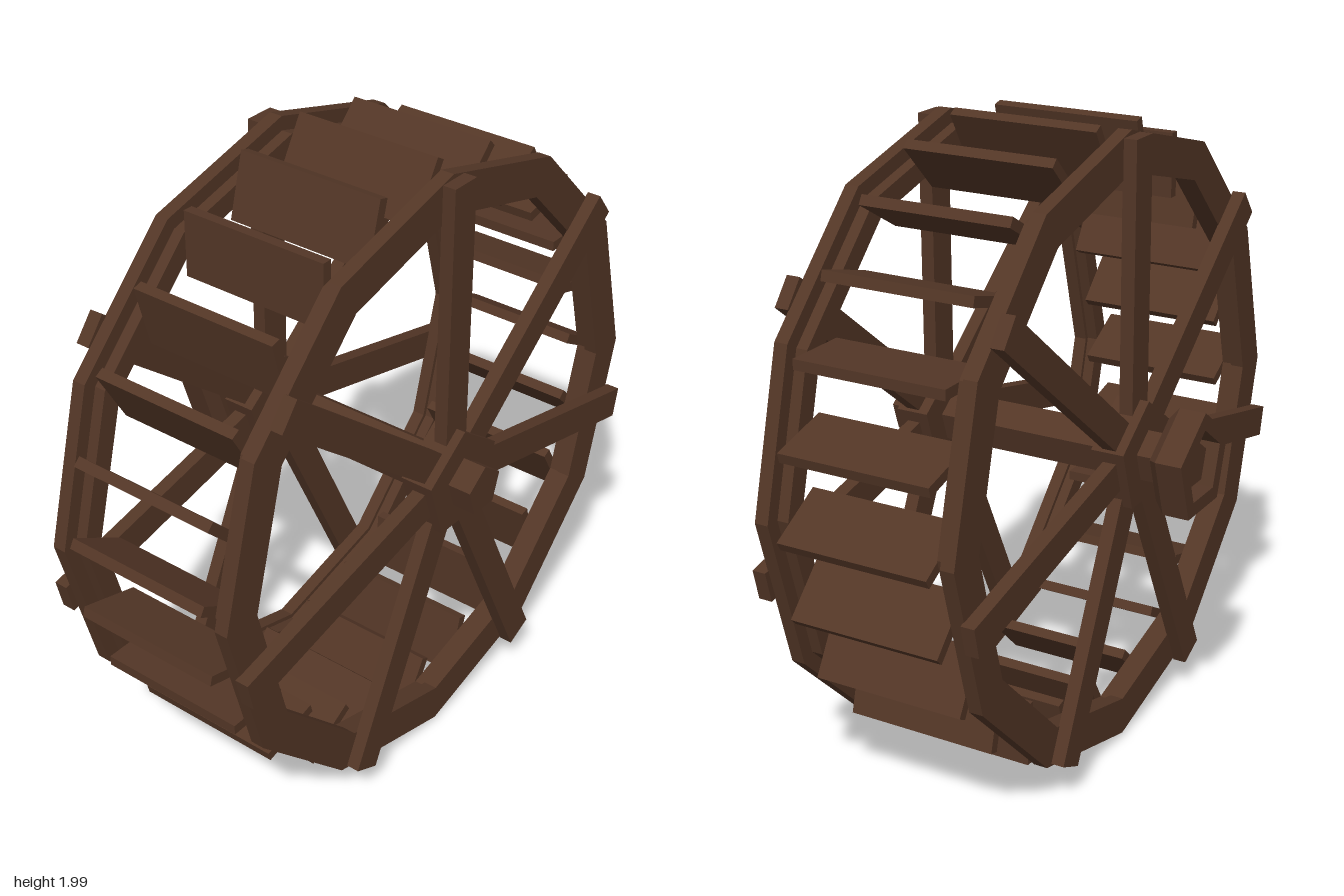
import * as THREE from 'three';

const wood = new THREE.MeshStandardMaterial({ color: 0x533626, flatShading: true });
const AXIS_Y = 1;   // height of the axle
const MID_Z = 0.055; // middle plane between the two side frames

function part(name, geometry) {
  const mesh = new THREE.Mesh(geometry, wood);
  mesh.name = name;
  return mesh;
}

// Twelve-sided flat ring from z0 to z1 with a corner pointing up
function ring(name, outer, inner, z0, z1) {
  const corners = (r) => Array.from({ length: 12 }, (_, i) =>
    new THREE.Vector2(r * Math.cos(i * Math.PI / 6), r * Math.sin(i * Math.PI / 6)));
  const shape = new THREE.Shape(corners(outer));
  shape.holes.push(new THREE.Path(corners(inner).reverse()));
  const geometry = new THREE.ExtrudeGeometry(shape, { depth: z1 - z0, bevelEnabled: false });
  return part(name, geometry.translate(0, 0, z0));
}

// Pentagonal prism along z with a corner pointing up
function pentagon(name, radius, z0, z1) {
  const geometry = new THREE.CylinderGeometry(radius, radius, z1 - z0, 5);
  return part(name, geometry.rotateX(-Math.PI / 2).translate(0, 0, (z0 + z1) / 2));
}

// One side of the wheel: stepped rim, seven spokes and a hub
function sideFrame(name) {
  const frame = new THREE.Group();
  frame.name = name;
  frame.add(ring('innerRim', 0.94, 0.875, 0.245, 0.282));
  frame.add(ring('outerRim', 0.985, 0.86, 0.282, 0.326));
  for (let i = 0; i < 7; i++) {
    const spoke = part('spoke', new THREE.BoxGeometry(0.1, 0.92, 0.044).translate(0, 0.51, 0.346));
    spoke.rotation.z = i * Math.PI * 2 / 7;
    frame.add(spoke);
  }
  frame.add(pentagon('hub', 0.172, 0.29, 0.398));
  return frame;
}

export function createModel() {
  const model = new THREE.Group();
  model.name = 'waterWheel';
  const wheel = new THREE.Group();
  wheel.name = 'wheel';
  wheel.position.y = AXIS_Y;
  model.add(wheel);

  // Side frames, the back one turned around
  const front = sideFrame('frontFrame');
  front.position.z = MID_Z;
  const back = sideFrame('backFrame');
  back.position.z = MID_Z;
  back.rotation.y = Math.PI;
  wheel.add(front, back);

  // Paddles, each tilted 30 degrees from the radius
  for (let i = 0; i < 24; i++) {
    const angle = i * Math.PI / 12;
    const paddle = part('paddle', new THREE.BoxGeometry(0.205, 0.032, 0.49));
    paddle.position.set(0.9 * Math.cos(angle), 0.9 * Math.sin(angle), MID_Z);
    paddle.rotation.z = angle - Math.PI / 6;
    wheel.add(paddle);
  }

  // Axle through both hubs
  wheel.add(pentagon('axle', 0.08, -0.5, 0.53));

  // Recessed cap on the back end of the axle
  const profile = [[0, 0.41], [0.13, 0.41], [0.17, 0.445], [0.17, 0.53], [0.115, 0.53], [0.115, 0.46], [0, 0.46]]
    .map(([r, y]) => new THREE.Vector2(r, y));
  wheel.add(part('axleCap', new THREE.LatheGeometry(profile, 5).rotateX(-Math.PI / 2)));

  return model;
}
